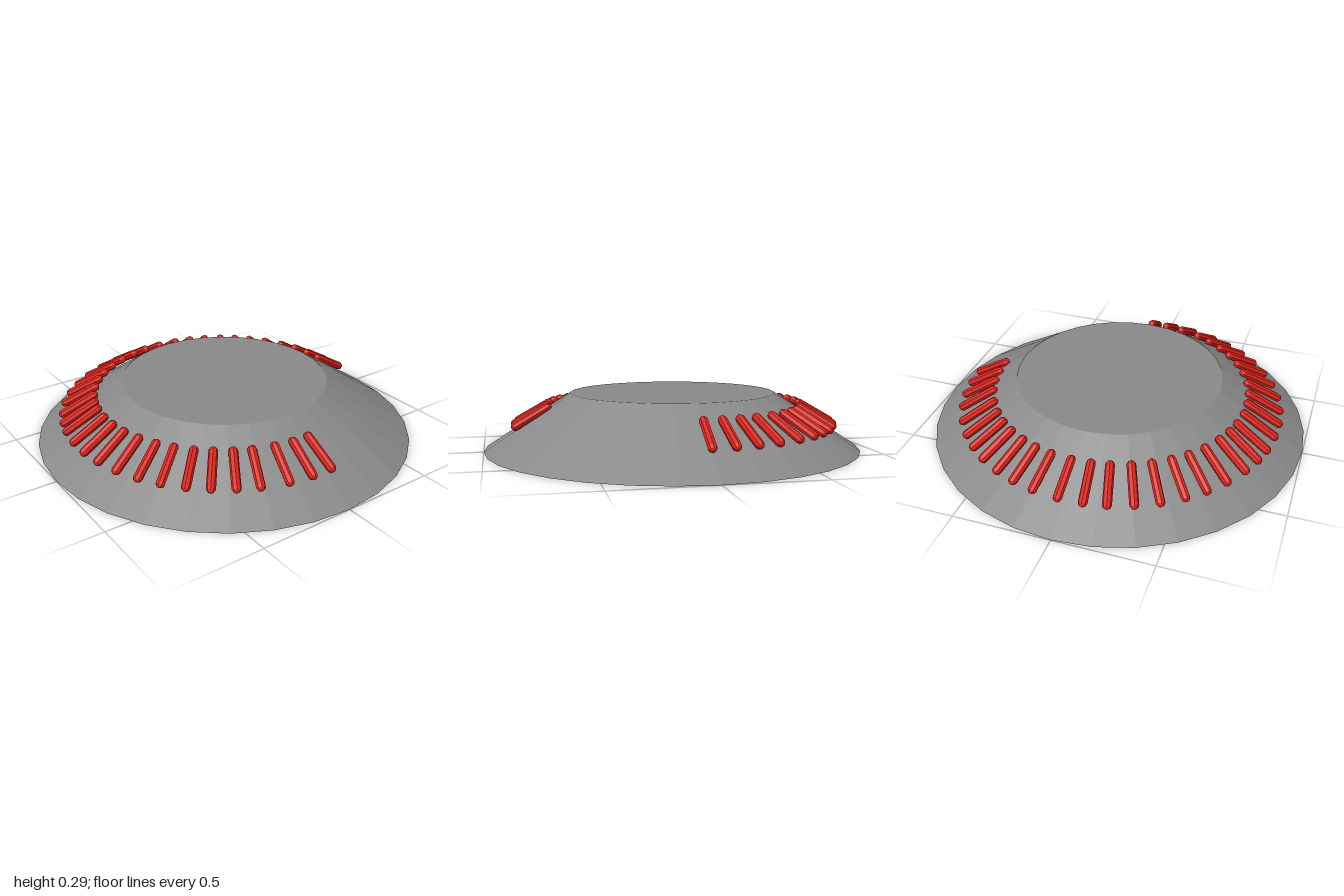
import * as THREE from 'three';

export function createModel() {
  const model = new THREE.Group();
  model.name = 'ringedDome';

  // Low truncated cone
  const grey = new THREE.MeshStandardMaterial({ color: 0x8a8a8a, flatShading: true });
  const height = 0.295;
  const base = new THREE.Mesh(new THREE.CylinderGeometry(0.545, 1, height, 32), grey);
  base.name = 'base';
  base.position.y = height / 2;
  model.add(base);

  // Hand-spaced angles in degrees, counter-clockwise seen from above, starting at +x
  const angles = [
    -0.6, 7.2, 15, 23, 32.1, 40.4, 48, 55.5, 63.6, 71.2, 79.1,
    88.1, 96.4, 104, 112.4, 120.6, 128.8, 136.5, 144.5, 153.1, 160.3, 166.8, 175.1,
    183, 190.9, 199.3, 207.8, 215.7, 223.9, 231.6, 239.4, 246.9, 256.4, 264.7, 272.3,
  ];

  // Three-quarter ring of red rods lying along the slope
  const red = new THREE.MeshStandardMaterial({ color: 0xdc221a, flatShading: true });
  const rod = new THREE.CapsuleGeometry(0.023, 0.192, 4, 8);
  rod.rotateZ(Math.PI / 2 - THREE.MathUtils.degToRad(30));
  rod.translate(0.764, 0.181, 0);

  const ring = new THREE.Group();
  ring.name = 'rodRing';
  ring.position.set(-0.01, 0, -0.01);
  angles.forEach((angle, i) => {
    const mesh = new THREE.Mesh(rod, red);
    mesh.name = `rod${i + 1}`;
    mesh.rotation.y = THREE.MathUtils.degToRad(angle);
    ring.add(mesh);
  });
  model.add(ring);

  return model;
}
